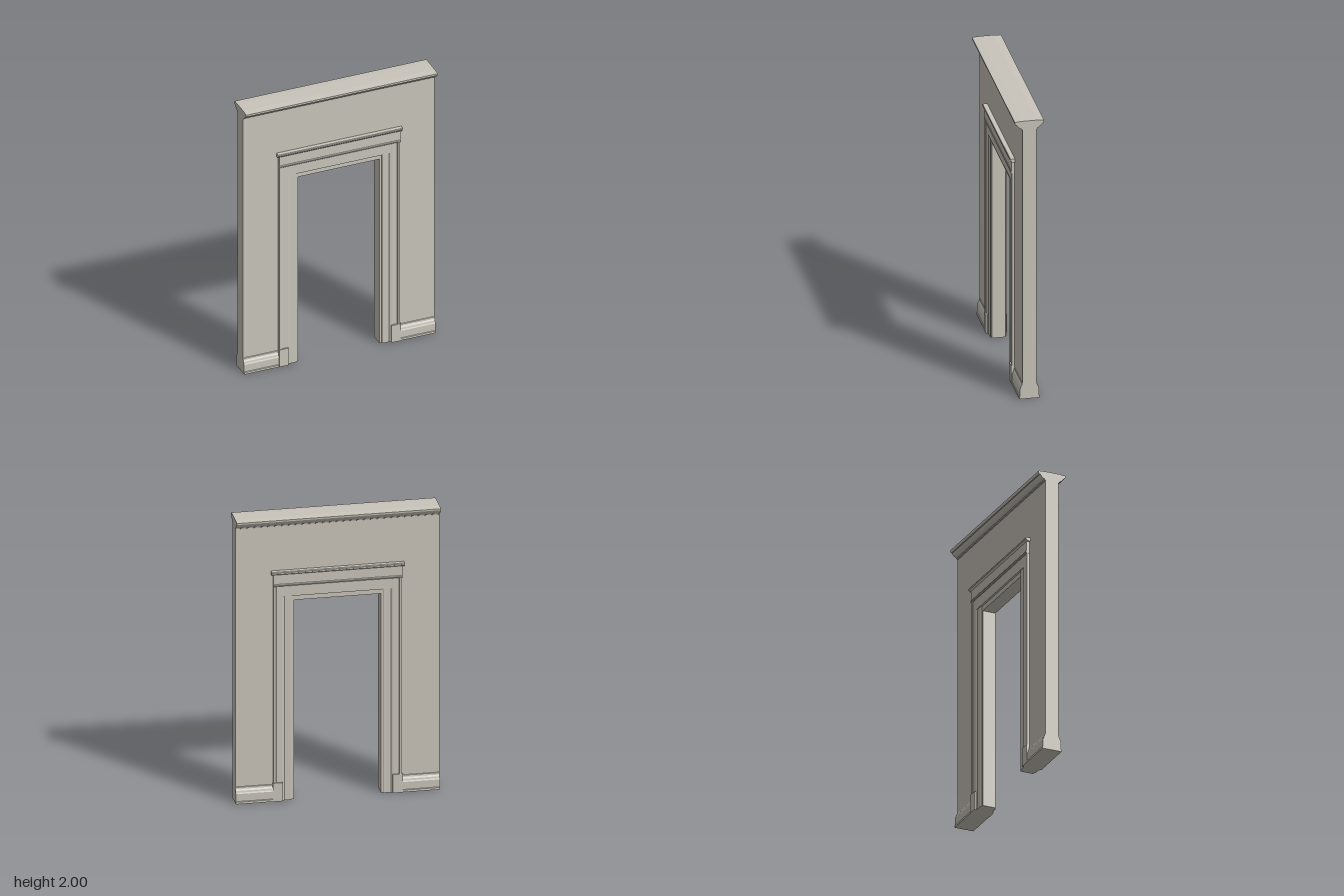
import * as THREE from 'three';

const WALL = 0.046; // half thickness of the wall
const HALF = 0.68; // half width of the wall

const shapeOf = (points) => new THREE.Shape(points.map(([x, y]) => new THREE.Vector2(x, y)));

const extrude = (points, depth) =>
  new THREE.ExtrudeGeometry(shapeOf(points), { depth, bevelEnabled: false });

// Moulding running along x, from a profile of [z, y] points
const alongX = (profile, x0, x1) =>
  extrude(profile, x1 - x0).rotateY(-Math.PI / 2).translate(x1, 0, 0);

// Moulding running up y, from a plan of [x, z] points
const alongY = (plan, y0, y1) =>
  extrude(plan.map(([x, z]) => [x, -z]), y1 - y0).rotateX(-Math.PI / 2).translate(0, y0, 0);

export function createModel() {
  const model = new THREE.Group();
  model.name = 'doorwayWall';
  const plaster = new THREE.MeshStandardMaterial({ color: 0xc9c5bb });
  plaster.name = 'warm grey plaster';

  const add = (parent, name, geometry) => {
    const mesh = new THREE.Mesh(geometry, plaster);
    mesh.name = name;
    parent.add(mesh);
  };

  // Wall with the door opening cut out
  const wall = extrude([
    [-HALF, 0], [-0.29, 0], [-0.29, 1.405], [0.29, 1.405],
    [0.29, 0], [HALF, 0], [HALF, 2], [-HALF, 2],
  ], 2 * WALL).translate(0, 0, -WALL);
  add(model, 'wall', wall);

  // Profiles start on the wall face and go outwards
  const cornice = [
    [WALL, 1.935], [0.052, 1.938], [0.055, 1.945], [0.062, 1.949], [0.073, 1.957],
    [0.082, 1.968], [0.086, 1.974], [0.092, 1.976], [0.097, 1.984], [0.098, 1.995],
    [0.094, 1.997], [0.05, 2], [WALL, 2],
  ];
  const baseboard = [
    [WALL, 0], [0.068, 0], [0.068, 0.015], [0.064, 0.018], [0.064, 0.07],
    [0.06, 0.078], [0.057, 0.09], [0.051, 0.1], [0.049, 0.112], [WALL, 0.115],
  ];
  const cap = [
    [WALL, 1.598], [0.067, 1.598], [0.072, 1.605], [0.078, 1.608], [0.079, 1.617],
    [0.076, 1.622], [WALL, 1.622],
  ];
  const frieze = [
    [WALL, 1.515], [0.066, 1.515], [0.071, 1.52], [0.071, 1.527], [0.067, 1.532],
    [0.067, 1.6], [WALL, 1.6],
  ];
  const architrave = [
    [WALL, 1.44], [0.059, 1.44], [0.059, 1.508], [0.062, 1.516], [WALL, 1.516],
  ];
  // Stepped door casing in plan, from the opening outwards
  const casing = [
    [0.305, WALL], [0.305, 0.05], [0.311, 0.054], [0.355, 0.054], [0.36, 0.058],
    [0.368, 0.06], [0.408, 0.06], [0.412, 0.065], [0.421, 0.067],
    [0.428, 0.065], [0.43, WALL],
  ];

  // The same trim dresses both faces of the wall
  for (const [name, angle] of [['frontTrim', 0], ['backTrim', Math.PI]]) {
    const trim = new THREE.Group();
    trim.name = name;
    trim.rotation.y = angle;
    model.add(trim);

    add(trim, 'cornice', alongX(cornice, -HALF, HALF));
    add(trim, 'doorCap', alongX(cap, -0.443, 0.443));
    add(trim, 'doorFrieze', alongX(frieze, -0.43, 0.43));
    add(trim, 'doorArchitrave', alongX(architrave, -0.37, 0.37));

    for (const [side, s] of [['left', 1], ['right', -1]]) {
      add(trim, side + 'Casing', alongY(casing.map(([x, z]) => [s * x, z]), 0, 1.516));
      const plinth = new THREE.BoxGeometry(0.066, 0.13, 0.07 - WALL);
      add(trim, side + 'Plinth', plinth.translate(s * 0.399, 0.065, (0.07 + WALL) / 2));
      const [x0, x1] = s > 0 ? [0.43, HALF] : [-HALF, -0.43];
      add(trim, side + 'Baseboard', alongX(baseboard, x0, x1));
    }
  }
  return model;
}
